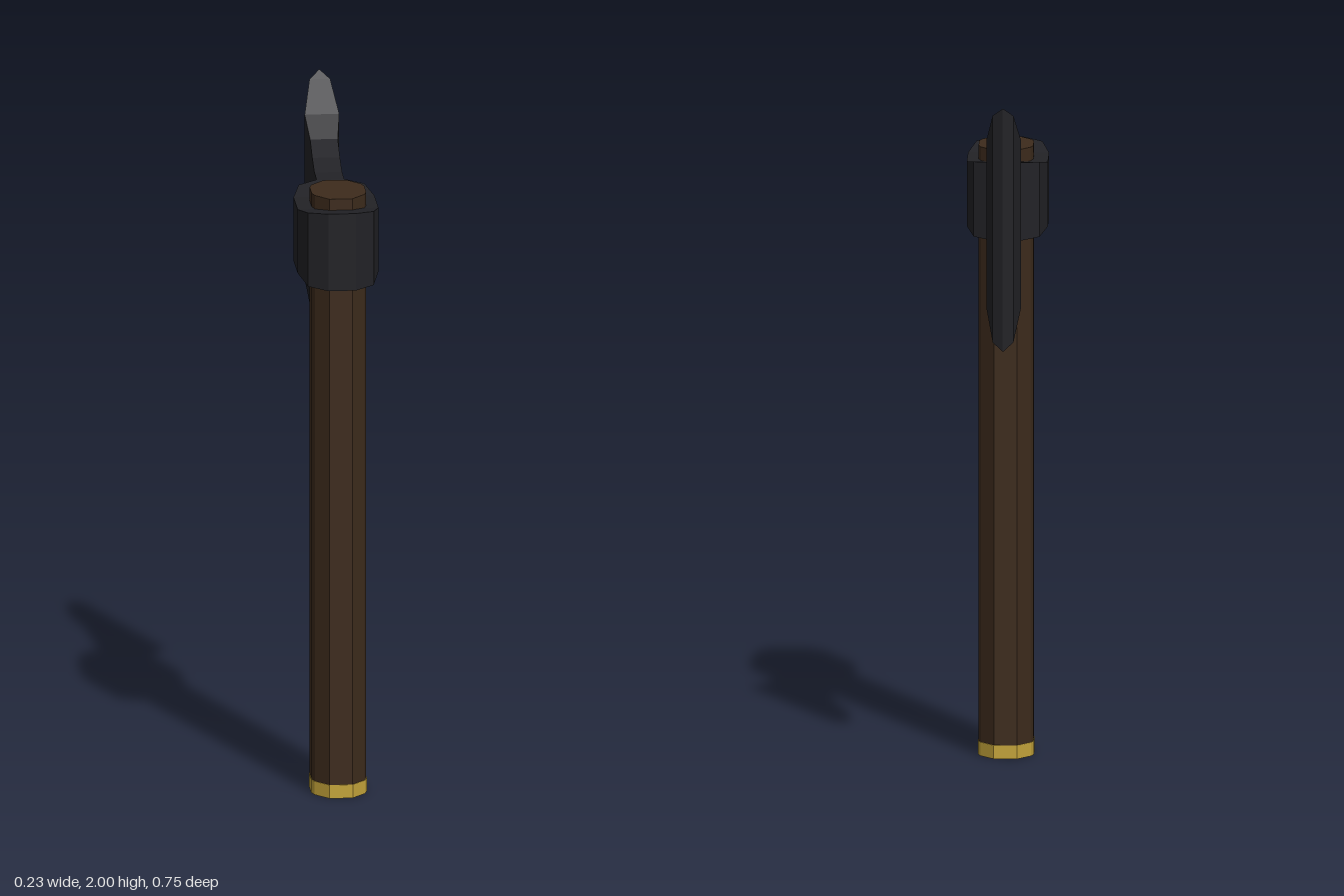
import * as THREE from 'three';

const material = (color) => new THREE.MeshStandardMaterial({ color, flatShading: true });

// Twelve-sided handle outline, half sizes about its centre
const outline = (s) => [
  [0.033, 0.105], [0.072, 0.059], [0.079, 0.033],
  [0.079, -0.033], [0.072, -0.059], [0.033, -0.105],
  [-0.033, -0.105], [-0.072, -0.059], [-0.079, -0.033],
  [-0.079, 0.033], [-0.072, 0.059], [-0.033, 0.105],
].map(([x, z]) => new THREE.Vector2(x * s, z * s));

// Upright prism of the outline, from y = 0 to the given height
function prism(shape, height) {
  const geo = new THREE.ExtrudeGeometry(shape, { depth: height, bevelEnabled: false });
  geo.rotateX(-Math.PI / 2);
  geo.translate(0.005, 0, 0.178);
  return geo;
}

// Rectangular cross-sections [z, half width, bottom, top] joined from front to back
function loft(sections) {
  const rings = sections.map(([z, w, b, t]) => [[-w, b, z], [w, b, z], [w, t, z], [-w, t, z]]);
  const pos = [];
  const quad = (a, b, c, d) => pos.push(...a, ...b, ...c, ...a, ...c, ...d);
  for (let i = 0; i < rings.length - 1; i++) {
    const p = rings[i], q = rings[i + 1];
    for (let j = 0; j < 4; j++) {
      const k = (j + 1) % 4;
      quad(p[j], q[j], q[k], p[k]);
    }
  }
  const last = rings[rings.length - 1];
  quad(...rings[0]);
  quad(last[3], last[2], last[1], last[0]);
  const geo = new THREE.BufferGeometry();
  geo.setAttribute('position', new THREE.Float32BufferAttribute(pos, 3));
  geo.computeVertexNormals();
  return geo;
}

export function createModel() {
  const group = new THREE.Group();
  const add = (name, geo, color) => {
    const mesh = new THREE.Mesh(geo, material(color));
    mesh.name = name;
    group.add(mesh);
  };

  // Wooden handle passing through the head
  add('handle', prism(new THREE.Shape(outline(1)), 1.79), 0x3d2b1c);

  // Brass band around the foot of the handle
  const band = new THREE.Shape(outline(1.02));
  band.holes.push(new THREE.Path(outline(0.99).reverse()));
  add('footBand', prism(band, 0.04), 0xc4a43a);

  // Axe head: socket around the handle, neck, then the flaring blade
  add('axeHead', loft([
    [0.373, 0.04, 1.54, 1.77],
    [0.335, 0.095, 1.545, 1.765],
    [0.24, 0.117, 1.56, 1.75],
    [0.105, 0.117, 1.56, 1.75],
    [0.025, 0.095, 1.545, 1.765],
    [-0.01, 0.04, 1.54, 1.77],
    [-0.08, 0.04, 1.54, 1.772],
    [-0.15, 0.04, 1.508, 1.797],
    [-0.22, 0.04, 1.46, 1.833],
    [-0.285, 0.05, 1.398, 1.89],
    [-0.355, 0.03, 1.31, 1.976],
    [-0.373, 0.001, 1.286, 2.0],
  ]), 0x222226);

  return group;
}
